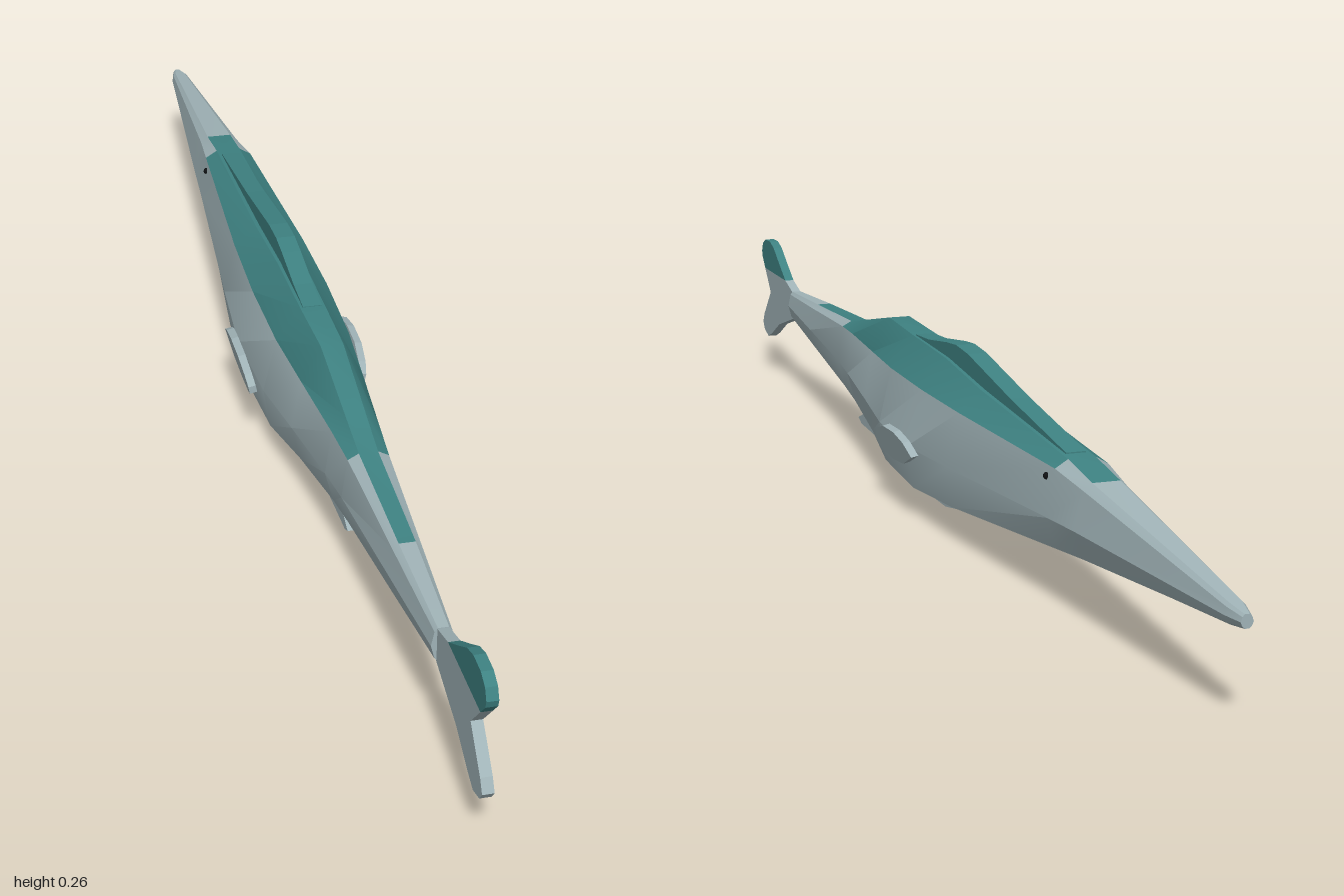
import * as THREE from 'three';
import { toCreasedNormals } from 'three/addons/utils/BufferGeometryUtils.js';

const mat = (name, color) => new THREE.MeshStandardMaterial({ name, color });

// Body sections, tail at +z:
// z, bottom [w, y], lower corner [w, y], widest [w, y], shoulder [w, y], top [w, y]
const SECTIONS = [
  [-1.0, 0.003, 0.121, 0.006, 0.124, 0.008, 0.129, 0.006, 0.135, 0.003, 0.138],
  [-0.97, 0.006, 0.117, 0.010, 0.120, 0.014, 0.129, 0.012, 0.139, 0.008, 0.143],
  [-0.6, 0.012, 0.080, 0.030, 0.088, 0.042, 0.125, 0.030, 0.176, 0.019, 0.186],
  [-0.52, 0.014, 0.071, 0.035, 0.080, 0.047, 0.122, 0.037, 0.186, 0.019, 0.197],
  [-0.2, 0.022, 0.036, 0.062, 0.052, 0.070, 0.110, 0.053, 0.187, 0.020, 0.217],
  [-0.05, 0.025, 0.020, 0.069, 0.042, 0.079, 0.105, 0.056, 0.187, 0.019, 0.231],
  [0.1, 0.024, 0.020, 0.062, 0.046, 0.072, 0.106, 0.053, 0.187, 0.018, 0.235],
  [0.22, 0.020, 0.037, 0.045, 0.062, 0.057, 0.113, 0.044, 0.187, 0.016, 0.239],
  [0.36, 0.016, 0.066, 0.030, 0.078, 0.042, 0.123, 0.033, 0.187, 0.014, 0.208],
  [0.43, 0.014, 0.077, 0.026, 0.087, 0.036, 0.128, 0.028, 0.185, 0.013, 0.193],
  [0.63, 0.010, 0.104, 0.018, 0.111, 0.025, 0.140, 0.019, 0.176, 0.011, 0.183],
  [0.8, 0.006, 0.125, 0.010, 0.130, 0.015, 0.149, 0.011, 0.169, 0.007, 0.174],
];

function bodyGeometry() {
  const pos = [], grey = [], teal = [], n = 10;
  for (const [z, ...p] of SECTIONS) {
    for (let k = 0; k < 5; k++) pos.push(p[2 * k], p[2 * k + 1], z);
    for (let k = 4; k >= 0; k--) pos.push(-p[2 * k], p[2 * k + 1], z);
  }
  for (let i = 0; i < SECTIONS.length - 1; i++) {
    const z = (SECTIONS[i][0] + SECTIONS[i + 1][0]) / 2;
    for (let j = 0; j < n; j++) {
      const a = i * n + j, b = i * n + (j + 1) % n;
      // The top strip is painted further along than the flanks of the back
      const painted = (j === 4 && z > -0.6 && z < 0.63) ||
        ((j === 3 || j === 5) && z > -0.52 && z < 0.43);
      (painted ? teal : grey).push(a, b, a + n, b, b + n, a + n);
    }
  }
  // End caps
  const last = (SECTIONS.length - 1) * n;
  for (let j = 1; j < n - 1; j++) {
    grey.push(0, j + 1, j, last, last + j, last + j + 1);
  }
  const geo = new THREE.BufferGeometry();
  geo.setAttribute('position', new THREE.Float32BufferAttribute(pos, 3));
  geo.setIndex([...grey, ...teal]);
  geo.addGroup(0, grey.length, 0);
  geo.addGroup(grey.length, teal.length, 1);
  return toCreasedNormals(geo, 0.4);
}

// Flat plate from a (z, y) outline, centred on x = 0
function plate(points, width) {
  const shape = new THREE.Shape(points.map(([z, y]) => new THREE.Vector2(z, y)));
  return new THREE.ExtrudeGeometry(shape, { depth: width, bevelEnabled: false })
    .rotateY(-Math.PI / 2)
    .translate(width / 2, 0, 0);
}

export function createModel() {
  const model = new THREE.Group();
  model.name = 'fish';
  const grey = mat('silverGrey', 0xa0b3b7);
  const teal = mat('backTeal', 0x3e8282);
  const black = mat('eyeBlack', 0x101214);

  const add = (name, geo, material) => {
    const mesh = new THREE.Mesh(geo, material);
    mesh.name = name;
    model.add(mesh);
    return mesh;
  };

  add('body', bodyGeometry(), [grey, teal]);

  // Fin along the back
  add('dorsalFin', plate([
    [0.1, 0.225], [-0.2, 0.2], [-0.5, 0.185], [-0.5, 0.2], [-0.3, 0.226],
    [-0.13, 0.253], [-0.08, 0.256], [-0.04, 0.252], [0.04, 0.24], [0.1, 0.236],
  ], 0.028), teal);

  // Forked tail, upper tip painted
  add('upperTailTip', plate([
    [0.845, 0.186], [0.98, 0.186], [0.997, 0.205], [1, 0.215], [0.993, 0.23],
    [0.975, 0.239], [0.945, 0.24], [0.92, 0.232], [0.885, 0.21],
  ], 0.015), teal);
  add('tailFin', plate([
    [0.76, 0.135], [0.8, 0.125], [0.89, 0.098], [0.94, 0.072], [0.965, 0.062],
    [0.99, 0.07], [1, 0.083], [0.99, 0.1], [0.945, 0.147], [0.98, 0.186],
    [0.845, 0.186], [0.8, 0.173], [0.76, 0.17],
  ], 0.015), grey);

  // Fins under the belly
  add('analFin', plate([
    [0.05, 0.05], [0.05, 0.024], [0.2, 0.029], [0.37, 0.036],
    [0.386, 0.043], [0.35, 0.058], [0.27, 0.066],
  ], 0.032), grey);
  add('bellyKeel', plate([
    [0.16, 0.035], [0.1, 0.008], [0.07, 0.001], [0.03, 0], [-0.02, 0],
    [-0.1, 0.015], [-0.2, 0.039], [-0.1, 0.05],
  ], 0.018), grey);

  for (const side of [1, -1]) {
    const label = side > 0 ? 'left' : 'right';
    // Leaf-shaped side fin, leaning outward at the top
    const fin = add(label + 'PectoralFin', plate([
      [0.07, -0.014], [0.05, -0.021], [0, -0.025], [-0.05, -0.02], [-0.1, 0.002],
      [-0.07, 0.017], [-0.03, 0.024], [0.02, 0.022], [0.055, 0.01], [0.07, -0.003],
    ], 0.011), grey);
    fin.position.set(side * 0.083, 0.1, 0);
    fin.rotation.z = -side * 0.2;

    const eye = add(label + 'Eye', new THREE.SphereGeometry(0.005, 10, 8), black);
    eye.position.set(side * 0.04, 0.172, -0.5);
  }
  return model;
}
